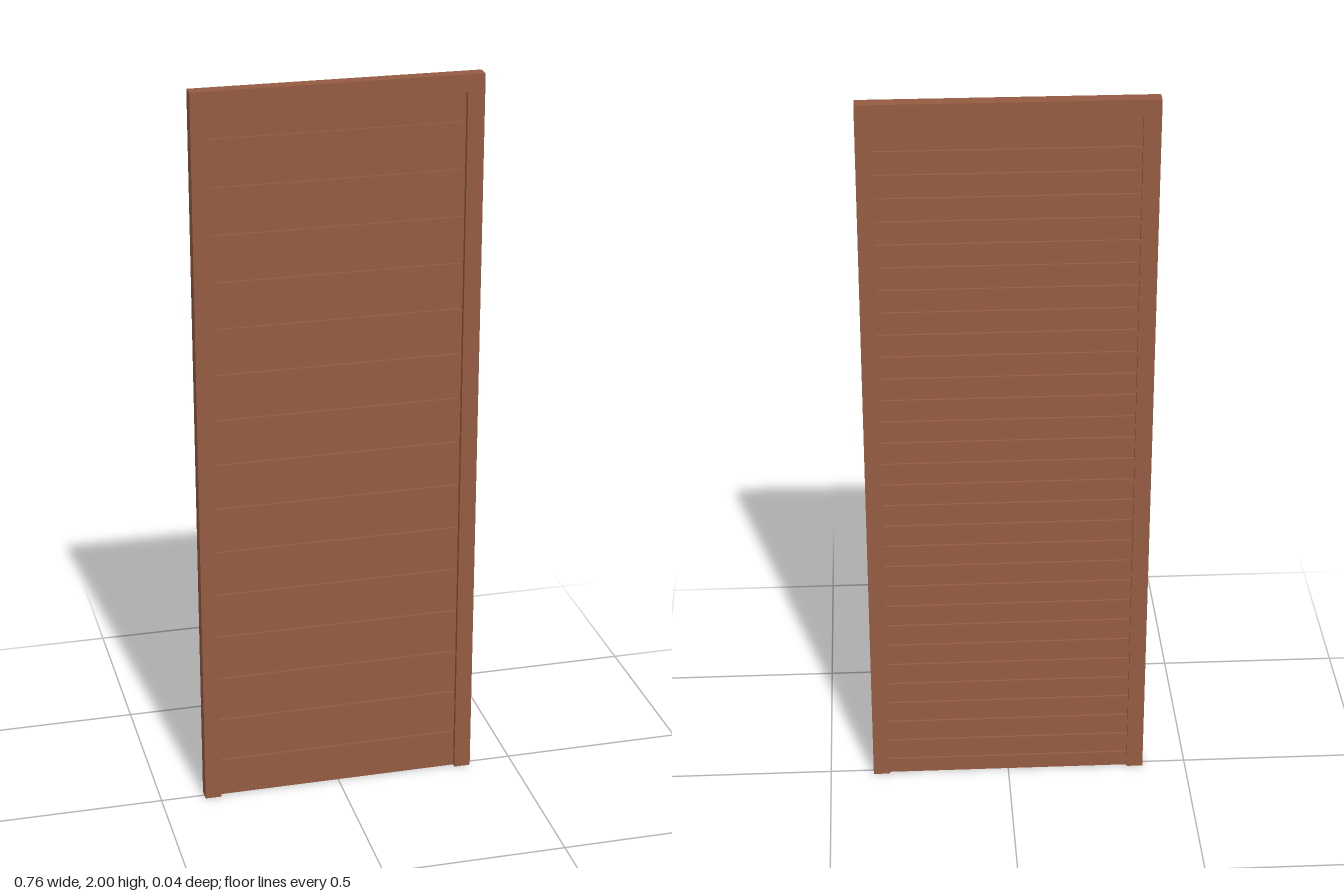
import * as THREE from 'three';

const HALF_WIDTH = 0.38, DEPTH = 0.038, HEIGHT = 2;
const STILE = 0.045, RAIL = 0.045;
const PANEL_TOP = HEIGHT - RAIL;

// Board joints for one face: listed from the bottom up as the outline of the cladding
function faceOutline(z, inward, firstJoint, pitch, gap, depth) {
  const points = [[z, 0]];
  for (let y = firstJoint; y < PANEL_TOP - 0.02; y += pitch) {
    points.push([z, y - gap / 2], [z + inward * depth, y - gap / 2]);
    points.push([z + inward * depth, y + gap / 2], [z, y + gap / 2]);
  }
  points.push([z, PANEL_TOP]);
  return points;
}

export function createModel() {
  const wood = new THREE.MeshStandardMaterial({ color: 0x955c42 });
  wood.name = 'reddish brown wood';
  const group = new THREE.Group();
  group.name = 'slattedPanel';

  const add = (name, geometry, x = 0, y = 0) => {
    const mesh = new THREE.Mesh(geometry, wood);
    mesh.name = name;
    mesh.position.set(x, y, 0);
    group.add(mesh);
  };

  // Side stiles and top rail
  for (const side of [-1, 1]) {
    add(side > 0 ? 'leftStile' : 'rightStile',
      new THREE.BoxGeometry(STILE, PANEL_TOP, DEPTH),
      side * (HALF_WIDTH - STILE / 2), PANEL_TOP / 2);
  }
  add('topRail', new THREE.BoxGeometry(HALF_WIDTH * 2, RAIL, DEPTH), 0, HEIGHT - RAIL / 2);

  // Cladding cross-section: wide boards in front, narrow slats behind
  const front = faceOutline(0.006, -1, 0.11, 0.1262, 0.006, 0.006);
  const back = faceOutline(-0.011, 1, 0.047, 0.0631, 0.007, 0.007);
  const outline = [...front, ...back.reverse()].map(([z, y]) => new THREE.Vector2(-z, y));
  const width = (HALF_WIDTH - STILE) * 2;
  const boards = new THREE.ExtrudeGeometry(new THREE.Shape(outline), { depth: width, bevelEnabled: false });
  boards.translate(0, 0, -width / 2);
  boards.rotateY(Math.PI / 2);
  add('boards', boards);

  return group;
}
